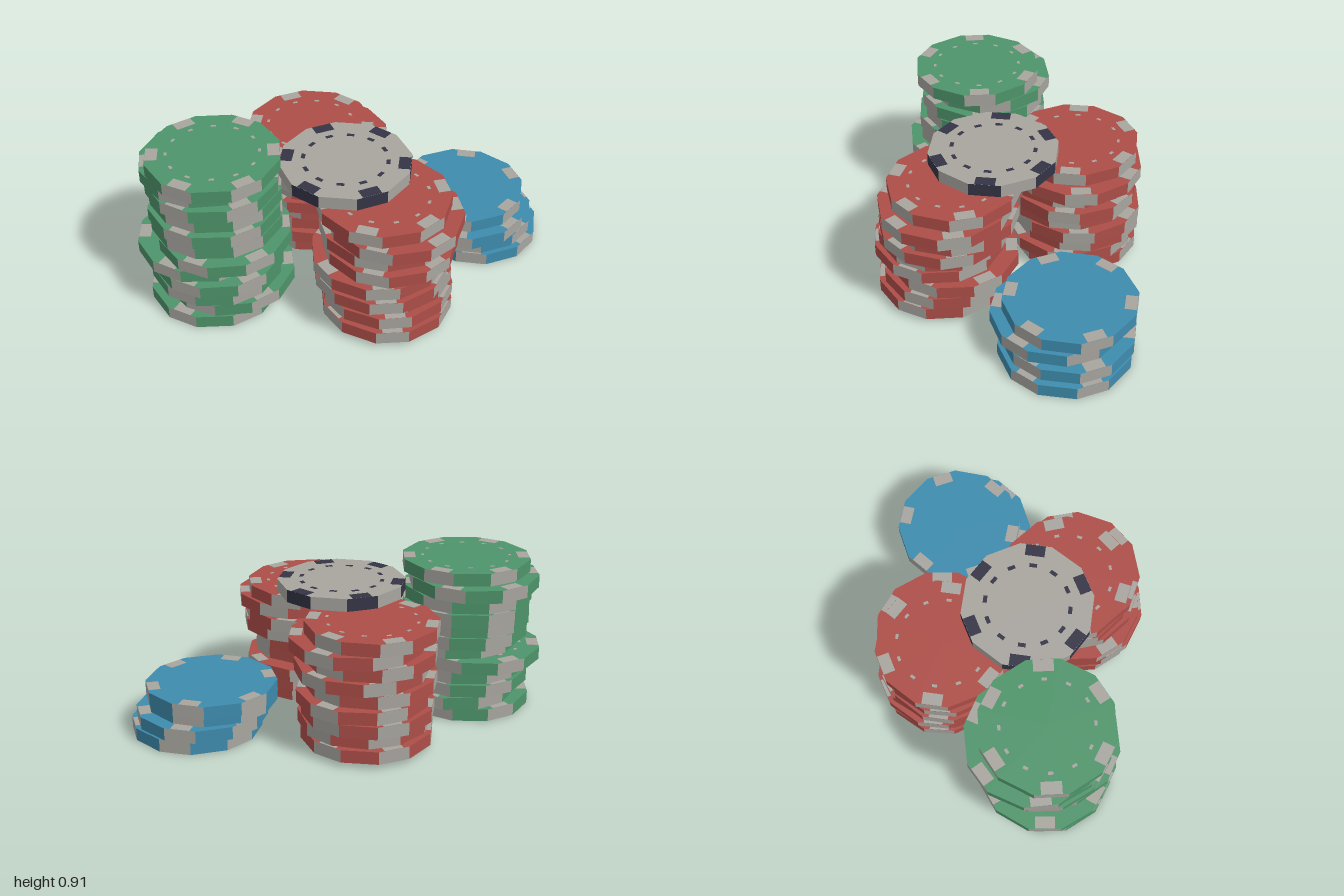
import * as THREE from 'three';
import { mergeGeometries } from 'three/addons/utils/BufferGeometryUtils.js';

const R = 0.37, H = 0.073, PITCH = 0.0755, SIDES = 12;
const rad = THREE.MathUtils.degToRad;

function material(name, color) {
  const m = new THREE.MeshStandardMaterial({ color });
  m.name = name;
  return m;
}

// Twelve-sided disc; every second side facet uses the second material
function discGeometry() {
  const g = new THREE.CylinderGeometry(R, R, H, SIDES, 1);
  const p = g.attributes.position;
  for (let i = 0; i < p.count; i++) {
    const r = Math.hypot(p.getX(i), p.getZ(i));
    if (r < 0.01) continue;
    // the marked facets are slightly narrower than the plain ones
    const a = Math.atan2(p.getX(i), p.getZ(i));
    const k = Math.round(a / rad(30));
    const b = a + rad(k % 2 === 0 ? 1 : -1);
    p.setX(i, Math.sin(b) * r);
    p.setZ(i, Math.cos(b) * r);
  }
  const flat = g.toNonIndexed();
  flat.computeVertexNormals();
  flat.clearGroups();
  for (let j = 0; j < SIDES; j++) flat.addGroup(j * 6, 6, j % 2 === 0 ? 1 : 0);
  flat.addGroup(SIDES * 6, SIDES * 6, 0);
  return flat;
}

// Thin plates spread in a ring on a chip face
function plateRing(count, radius, width, depth, y) {
  const plates = [];
  for (let k = 0; k < count; k++) {
    const g = new THREE.BoxGeometry(width, 0.002, depth);
    g.translate(0, y, radius);
    g.rotateY(rad(15 + (k * 360) / count));
    plates.push(g);
  }
  return mergeGeometries(plates);
}

export function createModel() {
  const grey = material('warm grey', 0xa8a59f);
  const green = material('green', 0x4e946a);
  const red = material('red', 0xad4e48);
  const blue = material('blue', 0x3e8cae);
  const dark = material('dark navy', 0x343446);

  const disc = discGeometry();
  const edgeMarks = mergeGeometries([
    plateRing(6, 0.325, 0.11, 0.066, H / 2),
    plateRing(6, 0.325, 0.11, 0.066, -H / 2),
  ]);
  const largeDashes = plateRing(12, 0.235, 0.042, 0.022, H / 2);
  const smallDashes = plateRing(12, 0.25, 0.028, 0.016, H / 2);

  function chip(name, base, accent, dashes) {
    const group = new THREE.Group();
    group.name = name;
    const add = (part, geometry, mat) => {
      const mesh = new THREE.Mesh(geometry, mat);
      mesh.name = part;
      group.add(mesh);
    };
    add('disc', disc, [base, accent]);
    add('edgeMarks', edgeMarks, accent);
    if (dashes) add('dashes', dashes, accent);
    return group;
  }

  // Each layer is [x, z, angle of the marks seen from above]
  const stacks = [
    { name: 'greenStack', base: green, accent: grey, dashes: smallDashes, y: 0, layers: [
      [-0.575, 0.545, 34], [-0.505, 0.5, 30], [-0.565, 0.535, 35], [-0.545, 0.545, 32],
      [-0.635, 0.535, 36], [-0.5, 0.535, 31], [-0.565, 0.49, 35], [-0.57, 0.5, 35],
      [-0.58, 0.46, 34], [-0.585, 0.48, 36], [-0.63, 0.455, 30], [-0.56, 0.5, 33]] },
    { name: 'backRedStack', base: red, accent: grey, dashes: smallDashes, y: 0.027, layers: [
      [-0.3, -0.25, 40], [-0.27, -0.23, 46], [-0.31, -0.26, 42], [-0.28, -0.265, 38],
      [-0.3, -0.21, 44], [-0.26, -0.245, 48], [-0.3, -0.21, 41], [-0.24, -0.27, 36],
      [-0.315, -0.225, 44]] },
    { name: 'frontRedStack', base: red, accent: grey, dashes: smallDashes, y: 0.027, layers: [
      [0.375, 0.31, 3], [0.365, 0.28, 1], [0.345, 0.245, 4], [0.345, 0.34, 3],
      [0.325, 0.32, 4], [0.38, 0.28, 24], [0.345, 0.245, 22], [0.405, 0.265, 26],
      [0.325, 0.245, 24]] },
    { name: 'blueStack', base: blue, accent: grey, dashes: null, y: 0, layers: [
      [0.632, -0.545, 16], [0.595, -0.545, 16], [0.57, -0.475, 18], [0.535, -0.53, 17]] },
    { name: 'topGreyChip', base: grey, accent: dark, dashes: largeDashes, y: 0.027 + 9 * PITCH,
      layers: [[0.052, 0.124, 44]] },
  ];

  const model = new THREE.Group();
  model.name = 'chipStacks';
  for (const s of stacks) {
    const stack = new THREE.Group();
    stack.name = s.name;
    s.layers.forEach(([x, z, angle], i) => {
      const c = chip('chip' + (i + 1), s.base, s.accent, s.dashes);
      c.position.set(x, s.y + H / 2 + 0.001 + i * PITCH, z);
      c.rotation.y = rad(15 - angle);
      stack.add(c);
    });
    model.add(stack);
  }
  return model;
}
